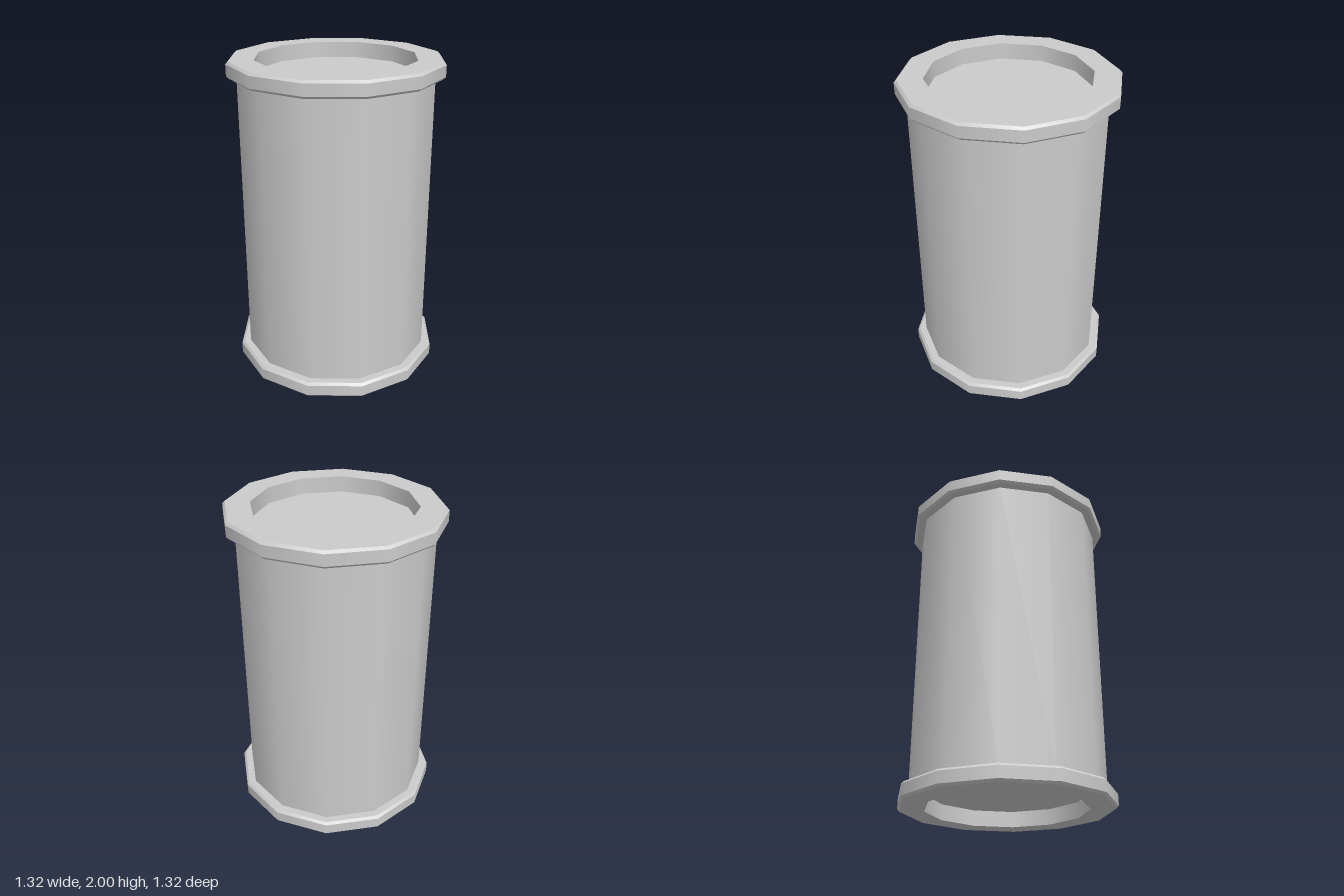
import * as THREE from 'three';
import { mergeGeometries } from 'three/addons/utils/BufferGeometryUtils.js';

const SIDES = 12;
const HEIGHT = 2;
const BODY_R = 0.6;
const RIM_R = 0.66;
const RIM_H = 0.1;
const BEVEL = 0.015;
const RECESS_R = 0.495;

// Revolves a profile one band at a time: smooth around, sharp between bands.
function revolve(profile) {
  const bands = [];
  for (let i = 0; i < profile.length - 1; i++) {
    const pair = [profile[i], profile[i + 1]].map(([r, y]) => new THREE.Vector2(r, y));
    bands.push(new THREE.LatheGeometry(pair, SIDES));
  }
  return mergeGeometries(bands);
}

export function createModel() {
  const group = new THREE.Group();
  const material = new THREE.MeshStandardMaterial({ color: 0xcccccc });

  function add(name, profile) {
    const mesh = new THREE.Mesh(revolve(profile), material);
    mesh.name = name;
    group.add(mesh);
  }

  // Cylindrical wall between the rims
  add('body', [[BODY_R, RIM_H], [BODY_R, HEIGHT - RIM_H]]);

  // Bevelled rim with a recessed end panel, from the panel centre out to the body
  const rim = [
    [0, RIM_H],
    [RECESS_R, RIM_H],
    [RECESS_R, 0],
    [RIM_R - BEVEL, 0],
    [RIM_R, BEVEL],
    [RIM_R, RIM_H - BEVEL],
    [RIM_R - BEVEL, RIM_H],
    [BODY_R, RIM_H],
  ];
  add('bottomRim', rim);

  // Mirrored profile, reversed so the faces still point outward
  add('topRim', rim.map(([r, y]) => [r, HEIGHT - y]).reverse());

  return group;
}
